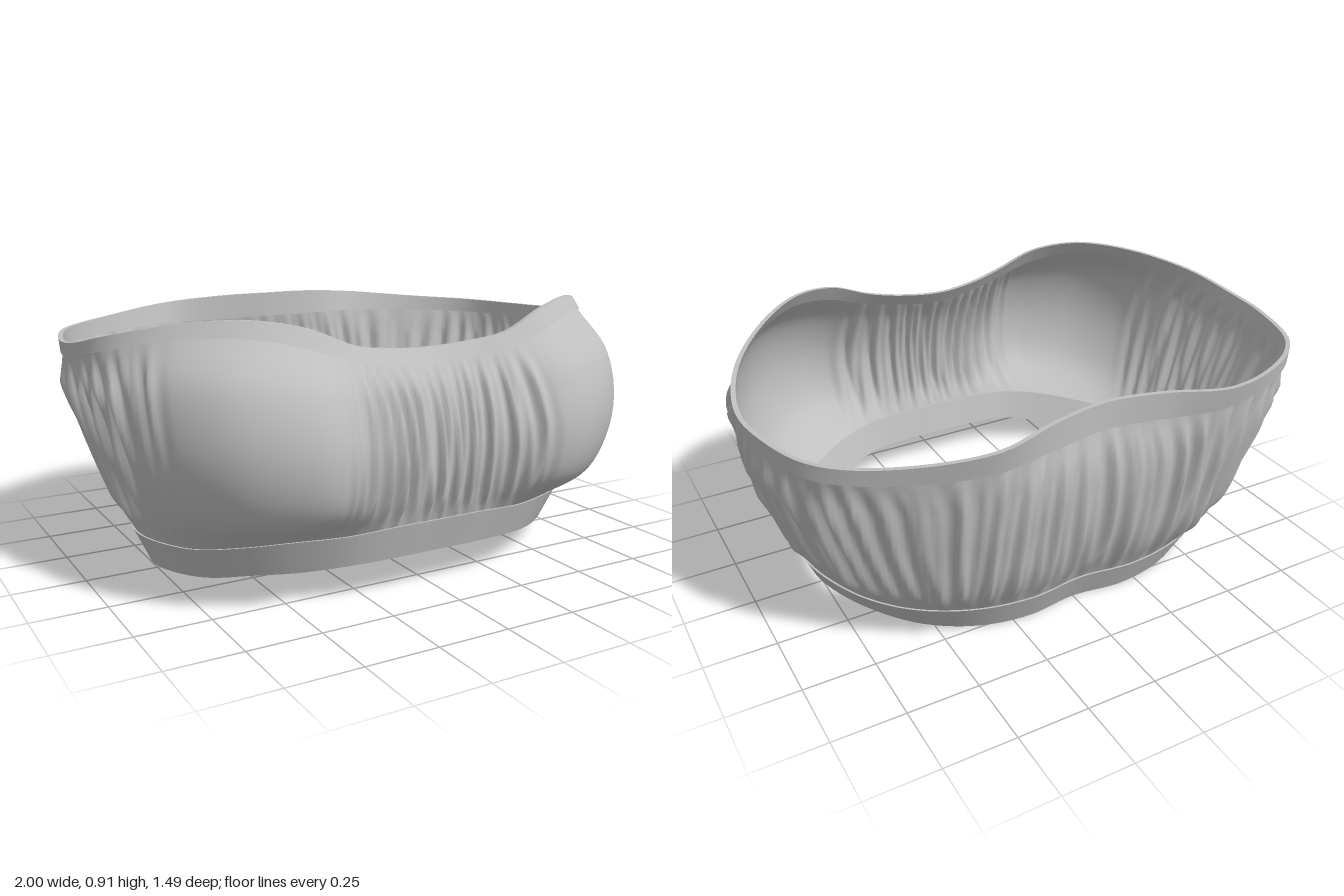
import * as THREE from 'three';
import { toCreasedNormals } from 'three/addons/utils/BufferGeometryUtils.js';

const AROUND = 520;
const UP = 26;

// Half outlines [x, z] from front centre round the left side to back centre.
const hemBottom = [[0, .60], [.15, .60], [.31, .58], [.45, .51], [.58, .41], [.68, .30], [.745, .16], [.765, .02],
  [.73, -.12], [.65, -.27], [.53, -.40], [.37, -.49], [.19, -.52], [0, -.50]];
const bodyRows = [
  [[0, .63], [.16, .63], [.33, .61], [.48, .54], [.62, .44], [.73, .33], [.79, .18], [.81, .02],
    [.79, -.13], [.71, -.31], [.58, -.45], [.40, -.54], [.20, -.57], [0, -.55]],
  [[0, .67], [.15, .67], [.32, .70], [.48, .71], [.67, .60], [.80, .42], [.85, .22], [.87, .02],
    [.85, -.16], [.77, -.36], [.62, -.52], [.42, -.62], [.20, -.64], [0, -.62]],
  [[0, .67], [.15, .68], [.32, .73], [.50, .745], [.71, .645], [.85, .47], [.91, .25], [.93, .02],
    [.92, -.19], [.83, -.41], [.66, -.57], [.43, -.67], [.21, -.68], [0, -.67]],
  [[0, .63], [.15, .64], [.31, .68], [.49, .69], [.70, .60], [.85, .43], [.94, .23], [.975, 0],
    [.97, -.22], [.88, -.45], [.68, -.61], [.43, -.70], [.21, -.70], [0, -.68]],
  [[0, .56], [.15, .575], [.30, .60], [.46, .575], [.63, .49], [.80, .34], [.93, .15], [.98, -.05],
    [.97, -.24], [.89, -.47], [.70, -.62], [.43, -.71], [.20, -.68], [0, -.655]],
];
const rowHeights = [0, .2, .5, .8, 1];
const trimTop = [[0, .525], [.15, .54], [.29, .565], [.44, .545], [.61, .465], [.78, .32], [.92, .14], [.985, -.05],
  [.975, -.24], [.89, -.475], [.70, -.63], [.43, -.73], [.20, -.685], [0, -.655]];

// Heights of the four band edges at the same stations.
const yHemBottom = [.125, .125, .12, .10, .08, .055, .04, .03, .025, .02, .01, .005, 0, 0];
const yHemTop = [.24, .24, .23, .215, .19, .17, .155, .14, .135, .13, .125, .12, .115, .115];
const yTrimBottom = [.74, .75, .775, .83, .86, .845, .80, .75, .74, .735, .74, .745, .75, .755];
const yTrimTop = [.79, .80, .825, .885, .91, .89, .845, .80, .79, .79, .80, .825, .845, .85];

// Mirrors a half outline into a smooth closed loop.
function loop(outline, heights) {
  const half = outline.map(([x, z], i) => new THREE.Vector3(x, heights[i], z));
  const mirrored = half.slice(1, -1).reverse().map((p) => new THREE.Vector3(-p.x, p.y, p.z));
  return new THREE.CatmullRomCurve3([...half, ...mirrored], true, 'catmullrom', 0.5);
}

// Horizontal direction pointing out of a loop.
function outward(curve, u) {
  const t = curve.getTangent(u);
  return new THREE.Vector3(-t.z, 0, t.x).normalize();
}

// Surface through rows of points, closed around the body.
function skin(rows) {
  const positions = [];
  const index = [];
  const n = rows[0].length;
  rows.forEach((row) => row.forEach((p) => positions.push(p.x, p.y, p.z)));
  for (let j = 0; j < rows.length - 1; j++) {
    for (let i = 0; i < n; i++) {
      const k = (i + 1) % n;
      const a = j * n + i, b = j * n + k, c = b + n, d = a + n;
      index.push(a, b, c, a, c, d);
    }
  }
  const geometry = new THREE.BufferGeometry();
  geometry.setAttribute('position', new THREE.Float32BufferAttribute(positions, 3));
  geometry.setIndex(index);
  geometry.computeVertexNormals();
  return geometry;
}

// Gathered folds: strong at the centre, sides and back, fading out on the cups.
const ridge = (x) => 1 - 2 * Math.abs(Math.sin(x));
function foldDepth(u, s) {
  const station = Math.min(u, 1 - u) * 26;
  const cup = THREE.MathUtils.smoothstep(station, 1.9, 2.7) * (1 - THREE.MathUtils.smoothstep(station, 4.8, 5.7));
  const a = u * Math.PI * 2;
  const wave = 0.6 * ridge(31 * a + 1.3 * Math.sin(5 * a + 2.2 * s) + 0.8 * s * Math.sin(3 * a))
    + 0.4 * ridge(53 * a + 2 * Math.sin(7 * a - 1.5 * s));
  const pinch = Math.min(1, 1.5 * Math.sin(Math.PI * s));
  return 0.02 * wave * (1 - cup) * pinch;
}

function bodyGeometry() {
  const curves = bodyRows.map((outline, r) => loop(outline,
    yHemTop.map((y, i) => THREE.MathUtils.lerp(y, yTrimBottom[i], rowHeights[r]))));
  const rows = Array.from({ length: UP + 1 }, () => []);
  for (let i = 0; i < AROUND; i++) {
    const u = i / AROUND;
    const rib = new THREE.CatmullRomCurve3(curves.map((c) => c.getPoint(u)), false, 'centripetal');
    const out = outward(curves[2], u);
    for (let j = 0; j <= UP; j++) {
      const s = j / UP;
      rows[j].push(rib.getPoint(s).addScaledVector(out, foldDepth(u, s)));
    }
  }
  return skin(rows);
}

// Thin flat band between two loops, with inner and outer faces.
function bandGeometry(lower, upper, thickness) {
  const section = [[lower, 1], [upper, 1], [upper, -1], [lower, -1], [lower, 1]];
  const rows = section.map(([curve, side]) => Array.from({ length: 160 }, (_, i) => {
    const u = i / 160;
    return curve.getPoint(u).addScaledVector(outward(curve, u), side * thickness / 2);
  }));
  return toCreasedNormals(skin(rows), Math.PI / 4);
}

export function createModel() {
  const group = new THREE.Group();
  group.name = 'bandeauTop';
  const fabric = new THREE.MeshStandardMaterial({ color: 0xbfbfbf, side: THREE.DoubleSide });
  fabric.name = 'grey fabric';

  const add = (name, geometry) => {
    const mesh = new THREE.Mesh(geometry, fabric);
    mesh.name = name;
    group.add(mesh);
  };

  add('gatheredBody', bodyGeometry());
  add('lowerBand', bandGeometry(loop(hemBottom, yHemBottom), loop(bodyRows[0], yHemTop), 0.014));
  add('upperBand', bandGeometry(loop(bodyRows[4], yTrimBottom), loop(trimTop, yTrimTop), 0.016));
  return group;
}
